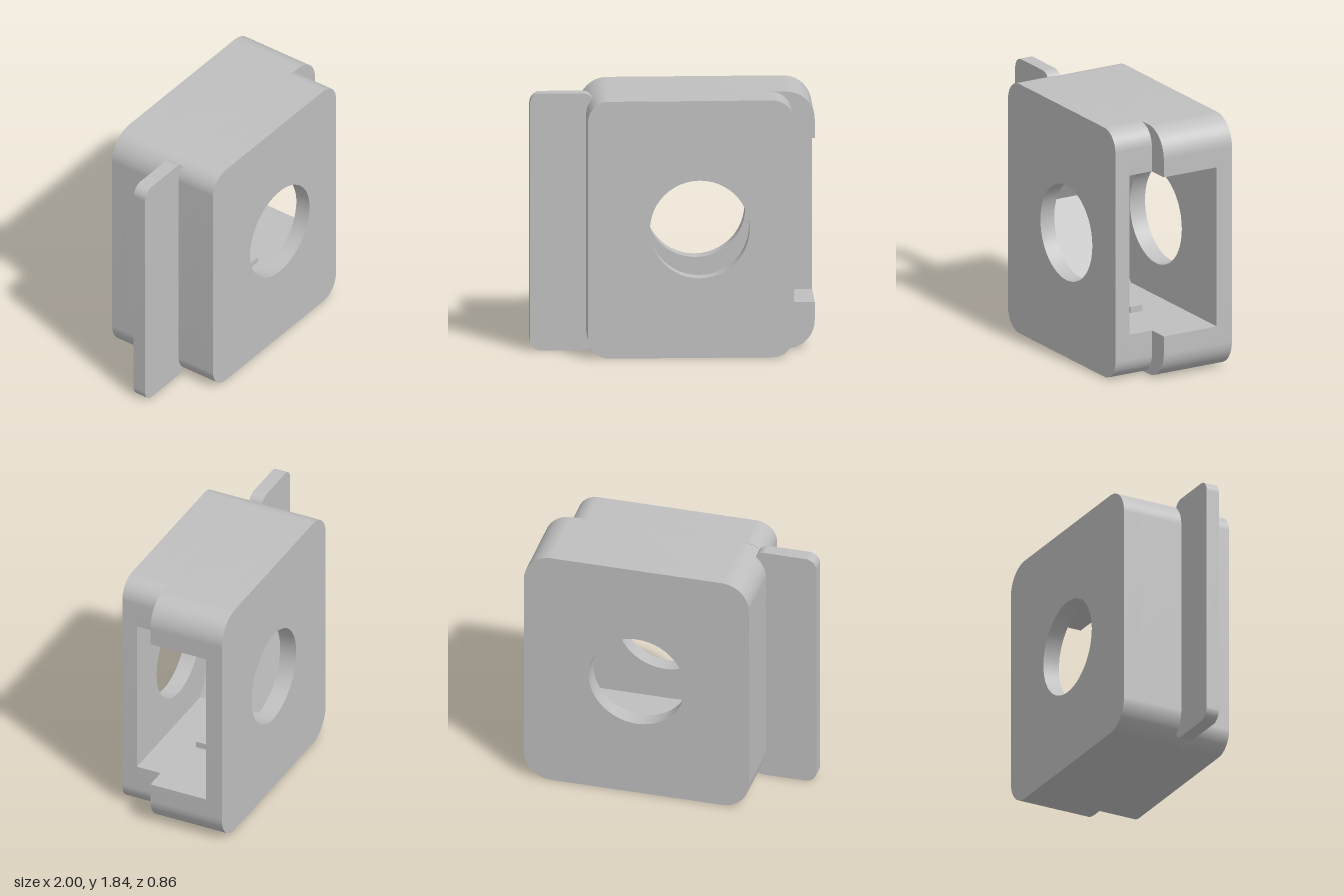
import * as THREE from 'three';
import { toCreasedNormals } from 'three/addons/utils/BufferGeometryUtils.js';

const CX = 0.18, CY = 0.92, H = 1.84; // bore axis and overall height
const HALF = 0.5875;                  // half the hexagon pocket's width across flats
const SIDE = HALF / Math.sqrt(3);     // half a hexagon side

// Rounded rectangle of full height, optionally with the hexagonal slot cut in from its right edge
function outline(x0, x1, r, slot = false) {
  const s = new THREE.Shape();
  s.moveTo(x0 + r, 0);
  s.lineTo(x1 - r, 0);
  s.absarc(x1 - r, r, r, -Math.PI / 2, 0);
  if (slot) {
    s.lineTo(x1, CY - HALF);
    s.lineTo(CX - SIDE, CY - HALF);
    s.lineTo(CX - 2 * SIDE, CY);
    s.lineTo(CX - SIDE, CY + HALF);
    s.lineTo(x1, CY + HALF);
  }
  s.absarc(x1 - r, H - r, r, 0, Math.PI / 2);
  s.absarc(x0 + r, H - r, r, Math.PI / 2, Math.PI);
  s.absarc(x0 + r, r, r, Math.PI, Math.PI * 1.5);
  return s;
}

function bored(shape) {
  shape.holes.push(new THREE.Path().absarc(CX, CY, 0.35, 0, Math.PI * 2, true));
  return shape;
}

export function createModel() {
  const model = new THREE.Group();
  const grey = new THREE.MeshStandardMaterial({ color: 0xbfbfbf });
  grey.name = 'grey';

  function slab(name, shape, z0, z1) {
    const g = new THREE.ExtrudeGeometry(shape, { depth: z1 - z0, bevelEnabled: false, curveSegments: 24 });
    g.translate(0, 0, z0);
    const mesh = new THREE.Mesh(toCreasedNormals(g, 0.5), grey);
    mesh.name = name;
    model.add(mesh);
  }

  // Wide rear half: bored wall, then the slotted frame
  const rear = [-0.635, 1.0, 0.2];
  slab('rearWall', bored(outline(...rear)), -0.43, -0.305);
  slab('rearFrame', outline(...rear, true), -0.305, 0.13);

  // Narrow front half
  const front = [-0.605, 0.84, 0.15];
  slab('frontFrame', outline(...front, true), 0.13, 0.315);
  slab('frontWall', bored(outline(...front)), 0.315, 0.43);

  // Side flange
  slab('sideFlange', outline(-1.0, -0.55, 0.08), 0.03, 0.13);

  // Small ribs on the floor and ceiling of the slot
  for (const s of [-1, 1]) {
    const rib = new THREE.Mesh(new THREE.BoxGeometry(0.5, 0.055, 0.1), grey);
    rib.position.set(CX, CY + s * (HALF - 0.0175), 0.005);
    rib.name = s < 0 ? 'lowerRib' : 'upperRib';
    model.add(rib);
  }
  return model;
}
